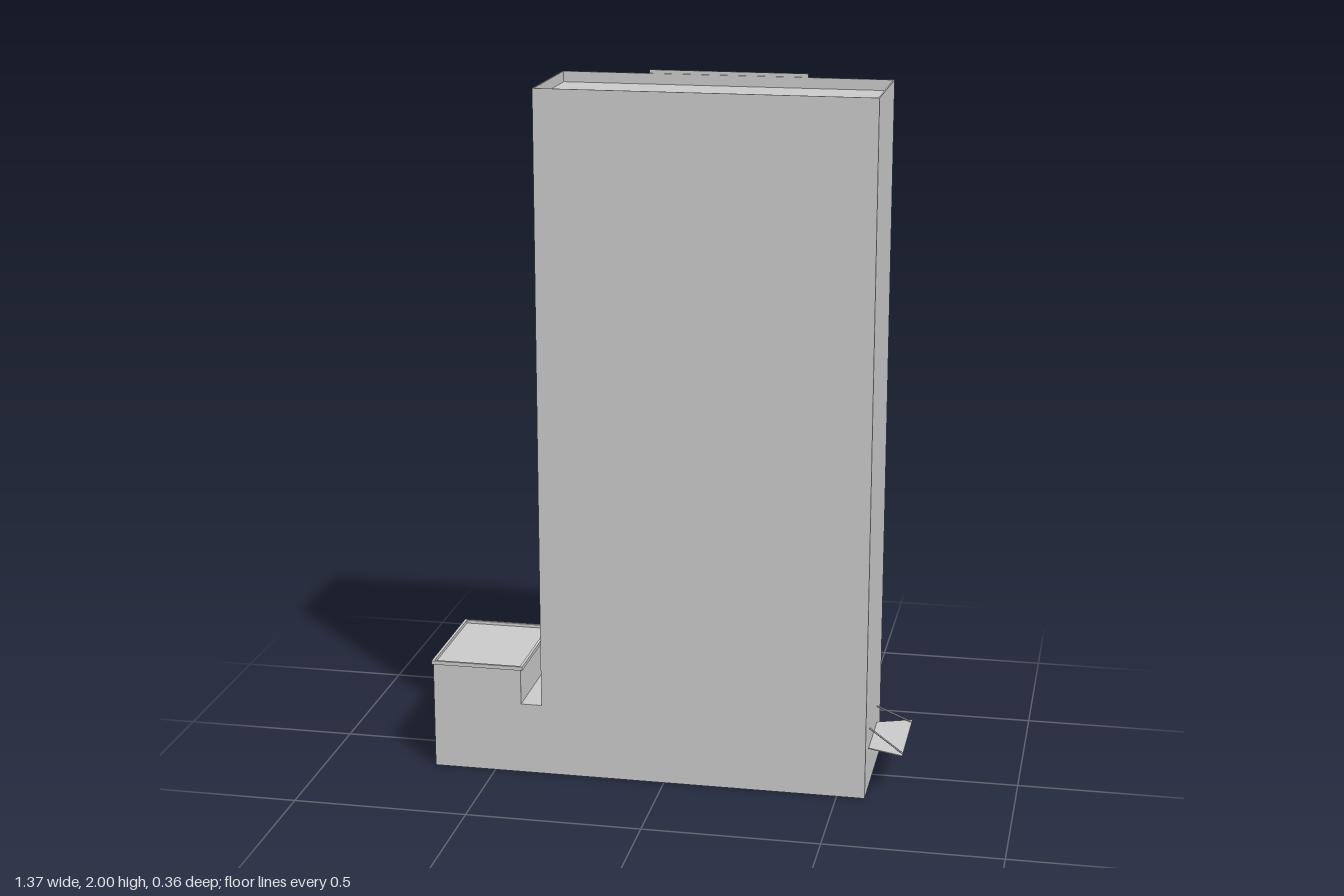
import * as THREE from 'three';

const material = new THREE.MeshStandardMaterial({ color: 0xcccccc, flatShading: true, side: THREE.DoubleSide });
const WALL = 0.004; // thin sheet walls
const HALF = 0.176; // half depth of the building

function add(group, name, geometry) {
  const mesh = new THREE.Mesh(geometry, material);
  mesh.name = name;
  group.add(mesh);
  return mesh;
}

// Box given by its lower and upper corners
function block(group, name, [x0, y0, z0], [x1, y1, z1]) {
  const geometry = new THREE.BoxGeometry(x1 - x0, y1 - y0, z1 - z0);
  geometry.translate((x0 + x1) / 2, (y0 + y1) / 2, (z0 + z1) / 2);
  return add(group, name, geometry);
}

function polygon(points) {
  return new THREE.Shape(points.map(([x, y]) => new THREE.Vector2(x, y)));
}

function rectangle(x0, x1, half) {
  return [[x0, -half], [x1, -half], [x1, half], [x0, half]];
}

// Flat plan outline raised from y0 to y1
function raise(shape, y0, y1) {
  const geometry = new THREE.ExtrudeGeometry(shape, { depth: y1 - y0, bevelEnabled: false });
  geometry.rotateX(-Math.PI / 2);
  geometry.translate(0, y0, 0);
  return geometry;
}

// Rectangular ring of thin wall, open at top and bottom
function ring(x0, x1, half, t, y0, y1) {
  const shape = polygon(rectangle(x0, x1, half));
  shape.holes.push(polygon(rectangle(x0 + t, x1 - t, half - t)));
  return raise(shape, y0, y1);
}

export function createModel() {
  const model = new THREE.Group();
  model.name = 'building';

  // Tower: hollow below, roof sunk behind a parapet
  const tower = new THREE.Group();
  tower.name = 'tower';
  model.add(tower);
  add(tower, 'towerWalls', ring(-0.36, 0.58, HALF, WALL, 0, 1.99));
  block(tower, 'towerRoof', [-0.358, 1.956, -HALF + 0.002], [0.578, 1.96, HALF - 0.002]);

  // Side annex with its lower link to the tower, open underneath
  const annex = new THREE.Group();
  annex.name = 'annex';
  model.add(annex);
  const profile = polygon([[-0.68, 0], [-0.36, 0], [-0.36, 0.21], [-0.42, 0.21], [-0.42, 0.318], [-0.68, 0.318]]);
  for (const [name, z] of [['annexFrontWall', HALF - WALL], ['annexBackWall', -HALF]]) {
    const wall = new THREE.ExtrudeGeometry(profile, { depth: WALL, bevelEnabled: false });
    wall.translate(0, 0, z);
    add(annex, name, wall);
  }
  const inner = HALF - WALL;
  block(annex, 'annexEndWall', [-0.68, 0, -inner], [-0.676, 0.318, inner]);
  block(annex, 'annexInnerWall', [-0.424, 0.21, -inner], [-0.42, 0.318, inner]);
  block(annex, 'linkRoof', [-0.424, 0.206, -inner], [-0.36, 0.21, inner]);
  block(annex, 'annexRoof', [-0.676, 0.312, -inner], [-0.424, 0.316, inner]);
  add(annex, 'annexRoofRim', ring(-0.684, -0.414, 0.18, 0.008, 0.314, 0.325));

  // Thin sign board on the back of the parapet
  block(model, 'signBoard', [-0.11, 1.965, -HALF - 0.003], [0.34, 2, -HALF]);

  // Entrance canopy, flaring outward and held by two tie rods
  const canopy = new THREE.Group();
  canopy.name = 'canopy';
  model.add(canopy);
  const plan = polygon([[0.58, -0.1], [0.68, -0.138], [0.68, 0.138], [0.58, 0.1]]);
  add(canopy, 'canopyPlate', raise(plan, 0.12, 0.123));
  for (const side of [-1, 1]) {
    const rod = new THREE.LineCurve3(
      new THREE.Vector3(0.58, 0.178, side * 0.086),
      new THREE.Vector3(0.68, 0.122, side * 0.12)
    );
    add(canopy, side > 0 ? 'frontTieRod' : 'backTieRod', new THREE.TubeGeometry(rod, 1, 0.0025, 6));
  }
  return model;
}
